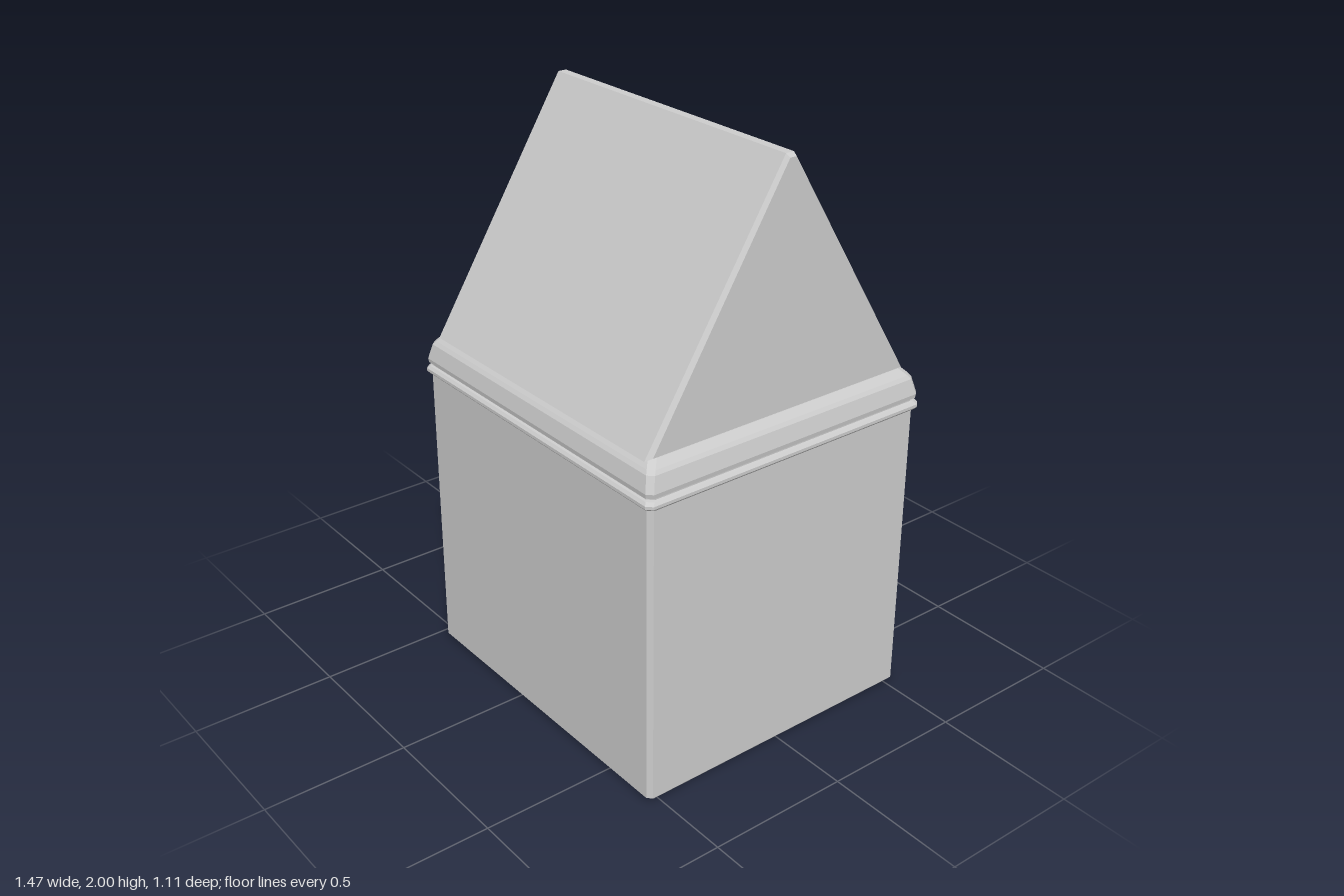
import * as THREE from 'three';

const CX = 0.1215;          // centre of the house along x
const HX = 0.595, HZ = 0.54; // half size of the walls

const material = new THREE.MeshStandardMaterial({ color: 0xcccccc, flatShading: true });

function addMesh(parent, name, geometry) {
  const mesh = new THREE.Mesh(geometry, material);
  mesh.name = name;
  parent.add(mesh);
  return mesh;
}

// Skin over equal-length rings of [x, y, z], closed at both ends
function loft(rings) {
  const pos = [];
  const tri = (a, b, c) => pos.push(...a, ...b, ...c);
  const n = rings[0].length;
  for (let i = 0; i < rings.length - 1; i++) {
    for (let j = 0; j < n; j++) {
      const k = (j + 1) % n, r = rings[i], s = rings[i + 1];
      tri(r[j], r[k], s[k]);
      tri(r[j], s[k], s[j]);
    }
  }
  const first = rings[0], last = rings[rings.length - 1];
  for (let j = 1; j < n - 1; j++) {
    tri(first[0], first[j + 1], first[j]);
    tri(last[0], last[j], last[j + 1]);
  }
  const g = new THREE.BufferGeometry();
  g.setAttribute('position', new THREE.Float32BufferAttribute(pos, 3));
  g.computeVertexNormals();
  return g;
}

// Rectangle with cut corners, lying flat at height y
function wallRing(out, y, cut) {
  const a = HX + out, b = HZ + out;
  return [
    [-a + cut, b], [a - cut, b], [a, b - cut], [a, -b + cut],
    [a - cut, -b], [-a + cut, -b], [-a, -b + cut], [-a, b - cut],
  ].map(([x, z]) => [CX + x, y, z]);
}

// Shape in (z, y), pushed out from plane x towards -x
function extrudeGable(outline, hole, x, depth) {
  const toPoints = (pts) => pts.map(([z, y]) => new THREE.Vector2(z, y));
  const shape = new THREE.Shape(toPoints(outline));
  if (hole) shape.holes.push(new THREE.Path(toPoints(hole)));
  const g = new THREE.ExtrudeGeometry(shape, { depth, bevelEnabled: false });
  g.rotateY(-Math.PI / 2);
  g.translate(x, 0, 0);
  return g;
}

// Opening with an ogee head made of six straight pieces
function ogee(half, bottom, spring, rise) {
  const pts = [[-half, bottom], [half, bottom]];
  for (let i = 0; i <= 6; i++) {
    const t = 1 - i / 3;
    pts.push([half * t, spring + rise * (1 + Math.cos(Math.PI * t)) / 2]);
  }
  return pts;
}

// Opening with a shallow round head
function arch(half, bottom, spring, rise) {
  const pts = [[-half, bottom], [half, bottom]];
  for (let i = 0; i <= 8; i++) {
    const a = (Math.PI * i) / 8;
    pts.push([half * Math.cos(a), spring + rise * Math.sin(a)]);
  }
  return pts;
}

function box(x0, x1, y0, y1, z0, z1) {
  const g = new THREE.BoxGeometry(x1 - x0, y1 - y0, z1 - z0);
  g.translate((x0 + x1) / 2, (y0 + y1) / 2, (z0 + z1) / 2);
  return g;
}

export function createModel() {
  const house = new THREE.Group();
  house.name = 'house';

  // Walls with softened edges
  addMesh(house, 'walls', loft([
    wallRing(-0.012, 0, 0.015), wallRing(0, 0.014, 0.015), wallRing(0, 1.06, 0.015),
  ]));

  // Moulded cornice: [outward offset, height]
  const cornice = [
    [-0.01, 1.05], [0.006, 1.053], [0.014, 1.062], [0.014, 1.072], [0.006, 1.081],
    [-0.002, 1.083], [-0.002, 1.09], [0.008, 1.094], [0.01, 1.108],
    [-0.003, 1.16], [-0.012, 1.172], [-0.034, 1.195],
  ];
  addMesh(house, 'cornice', loft(cornice.map(([o, y]) => wallRing(o, y, 0.018))));

  // Roof, with a small bevel around its plain end
  const roofOutline = [[-0.52, 1.185], [0.52, 1.185], [0.015, 2], [-0.015, 2]];
  const bevelOutline = [[-0.5, 1.195], [0.5, 1.195], [0.012, 1.99], [-0.012, 1.99]];
  const atX = (pts, x) => pts.map(([z, y]) => [x, y, z]);
  addMesh(house, 'roof', loft([
    atX(bevelOutline, 0.68), atX(roofOutline, 0.665), atX(roofOutline, -0.395),
  ]));

  // Raised border around the recessed gable
  const gableHole = [[-0.427, 1.245], [0.427, 1.245], [0, 1.93]];
  addMesh(house, 'gableFrame', extrudeGable(roofOutline, gableHole, -0.395, 0.04));

  // Gable window
  const gableWindow = new THREE.Group();
  gableWindow.name = 'gableWindow';
  house.add(gableWindow);
  addMesh(gableWindow, 'windowFrame', extrudeGable(
    arch(0.105, 1.27, 1.69, 0.045), arch(0.083, 1.292, 1.675, 0.037), -0.39, 0.035));
  addMesh(gableWindow, 'windowPost', box(-0.418, -0.39, 1.28, 1.72, -0.011, 0.011));
  for (const y of [1.49, 1.675]) {
    addMesh(gableWindow, 'windowBar', box(-0.416, -0.39, y - 0.01, y + 0.01, -0.09, 0.09));
  }

  // Entrance: surround, recessed door and two steps
  const entrance = new THREE.Group();
  entrance.name = 'entrance';
  house.add(entrance);
  addMesh(entrance, 'doorSurround', extrudeGable(
    ogee(0.2, 0.01, 0.795, 0.095), ogee(0.14, 0.09, 0.735, 0.085), -0.46, 0.145));
  addMesh(entrance, 'door', extrudeGable(ogee(0.15, 0.08, 0.74, 0.085), null, -0.46, 0.1));
  addMesh(entrance, 'lowerStep', box(-0.735, -0.6, 0.01, 0.05, -0.2, 0.2));
  addMesh(entrance, 'upperStep', box(-0.675, -0.6, 0.01, 0.09, -0.2, 0.2));

  return house;
}
